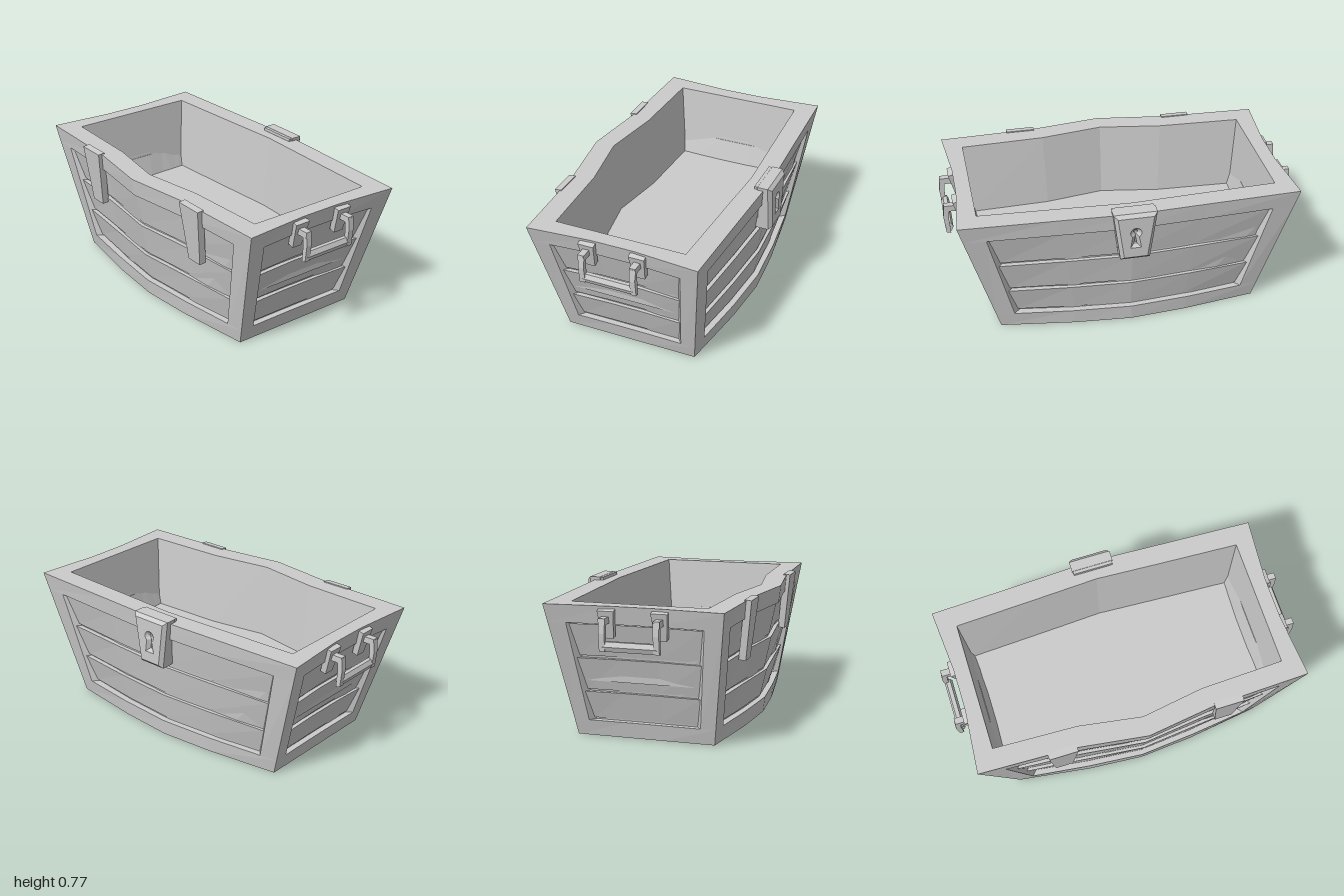
import * as THREE from 'three';

const H = 0.75;
const mat = new THREE.MeshStandardMaterial({ color: 0xcccccc, flatShading: true, side: THREE.DoubleSide });
const lerp = THREE.MathUtils.lerp;

// Distance of a bowed wall from the centre: values at u = 0, 0.43 and 1
function bow(u, [mid, quarter, end]) {
  const a = Math.abs(u);
  return a < 0.43 ? lerp(mid, quarter, a / 0.43) : lerp(quarter, end, (a - 0.43) / 0.57);
}
const BOTTOM = [0.47, 0.445, 0.385];
const TOPS = { 0: [0.565, 0.508, 0.49], 2: [0.53, 0.512, 0.49] };

// Point on wall k (0 front, 1 left, 2 back, 3 right), at depth d under its face
function wallPoint(k, u, y, d) {
  const t = y / H;
  const hx = lerp(0.74, 0.95, t), hz = lerp(0.385, 0.49, t);
  const p = new THREE.Vector3();
  if (k % 2 === 0) {
    p.set(u * (hx - d), y, lerp(bow(u, BOTTOM), bow(u, TOPS[k]), t) - d);
  } else {
    const dent = d < 0.1 ? 0.03 * t * Math.min(1, (1 - Math.abs(u)) / 0.75) : 0;
    p.set(u * (hz - d), y, hx - dent - d);
  }
  return p.applyAxisAngle(new THREE.Vector3(0, 1, 0), k * Math.PI / 2);
}

// Board that follows a wall; us are the columns, outer depth may differ at bottom and top
function board(k, us, y0, y1, outBottom, outTop, inner) {
  const n = us.length - 1;
  const g = new THREE.BoxGeometry(1, 1, 1, n, 1, 1);
  const p = g.attributes.position;
  for (let i = 0; i < p.count; i++) {
    const u = us[Math.round((p.getX(i) + 0.5) * n)];
    const up = p.getY(i) > 0;
    const d = p.getZ(i) > 0 ? (up ? outTop : outBottom) : inner;
    const v = wallPoint(k, u, up ? y1 : y0, d);
    p.setXYZ(i, v.x, v.y, v.z);
  }
  g.computeVertexNormals();
  return g;
}

// Closed loop of the wall plan taken at planY, placed at height y
function ring(planY, inset, y) {
  const pts = [];
  for (let k = 0; k < 4; k++) {
    const us = k % 2 ? [-1, -0.25, 0.25] : [-1, -0.43, 0, 0.43];
    for (const u of us) pts.push(wallPoint(k, u, planY, inset).setY(y));
  }
  return pts;
}

// Skin through the rings with both ends capped
function loft(rings) {
  const pos = [];
  const tri = (...vs) => vs.forEach((v) => pos.push(v.x, v.y, v.z));
  const n = rings[0].length, last = rings.length - 1;
  const c0 = new THREE.Vector3(0, rings[0][0].y, 0), c1 = new THREE.Vector3(0, rings[last][0].y, 0);
  for (let j = 0; j < n; j++) {
    const m = (j + 1) % n;
    for (let i = 0; i < last; i++) {
      tri(rings[i][j], rings[i][m], rings[i + 1][m]);
      tri(rings[i][j], rings[i + 1][m], rings[i + 1][j]);
    }
    tri(rings[0][m], rings[0][j], c0);
    tri(rings[last][j], rings[last][m], c1);
  }
  const g = new THREE.BufferGeometry();
  g.setAttribute('position', new THREE.Float32BufferAttribute(pos, 3));
  g.computeVertexNormals();
  return g;
}

// Box whose lower end is narrower
function taperBox(top, bottom, h, d) {
  const g = new THREE.BoxGeometry(top, h, d);
  const p = g.attributes.position;
  for (let i = 0; i < p.count; i++) if (p.getY(i) < 0) p.setX(i, p.getX(i) * bottom / top);
  g.computeVertexNormals();
  return g;
}

function add(parent, name, geometry, x = 0, y = 0, z = 0, tilt = 0) {
  const m = new THREE.Mesh(geometry, mat);
  m.name = name;
  m.position.set(x, y, z);
  m.rotation.x = tilt;
  parent.add(m);
  return m;
}

// Carrying handle, facing +z
function makeHandle() {
  const g = new THREE.Group();
  for (const s of [-1, 1]) {
    add(g, 'handleBracket', taperBox(0.09, 0.06, 0.155, 0.035), s * 0.145, 0.657, 0.908, 0.27);
    add(g, 'handleHook', new THREE.BoxGeometry(0.036, 0.035, 0.075), s * 0.147, 0.68, 0.957);
    // Slightly curved arm
    const arm = new THREE.Shape([[0.965, 0.69], [0.995, 0.69], [1.0, 0.62], [0.99, 0.525],
      [0.965, 0.52], [0.972, 0.62]].map((a) => new THREE.Vector2(...a)));
    const geo = new THREE.ExtrudeGeometry(arm, { depth: 0.032, bevelEnabled: false });
    geo.rotateY(-Math.PI / 2);
    add(g, 'handleArm', geo, s * 0.147 + 0.016);
  }
  const bar = new THREE.CylinderGeometry(0.03, 0.03, 0.295, 6);
  bar.rotateZ(Math.PI / 2).scale(1, 1, 0.75);
  add(g, 'handleBar', bar, 0, 0.55, 0.972);
  return g;
}

// Lock with a keyhole, facing +z
function makeLock() {
  const g = new THREE.Group();
  const face = new THREE.Shape();
  face.moveTo(-0.1, 0.75).lineTo(-0.065, 0.5).lineTo(0.065, 0.5).lineTo(0.1, 0.75).closePath();
  const hole = new THREE.Path();
  hole.moveTo(-0.03, 0.56).lineTo(0.03, 0.56).lineTo(0.017, 0.63);
  hole.absarc(0, 0.655, 0.032, -0.9, Math.PI + 0.9, false);
  hole.closePath();
  face.holes.push(hole);
  const geo = new THREE.ExtrudeGeometry(face, {
    depth: 0.06, bevelThickness: 0.02, bevelSize: 0.02, bevelSegments: 1, curveSegments: 5,
  });
  add(g, 'lockBody', geo, 0, 0, 0.492);
  add(g, 'lockBackPlate', taperBox(0.232, 0.165, 0.285, 0.065), 0, 0.625, 0.505);
  return g;
}

export function createModel() {
  const model = new THREE.Group();
  model.name = 'openChest';

  // Inner body with the rim and the cavity
  add(model, 'innerBody', loft([
    ring(0.02, 0.035, 0.02), ring(H, 0.035, H),
    ring(H, 0.115, H), ring(H, 0.15, 0.32),
  ]));

  for (let k = 0; k < 4; k++) {
    const wall = new THREE.Group();
    wall.name = ['frontWall', 'leftWall', 'backWall', 'rightWall'][k];
    model.add(wall);
    const e = k % 2 ? 0.79 : 0.865;
    const cols = k % 2 ? [-0.25, 0.25] : [-0.43, 0, 0.43];
    const full = [-1, ...cols, 1], inside = [-e, ...cols, e];

    // Frame
    add(wall, 'topRail', board(k, full, 0.65, H, 0, 0, 0.04));
    add(wall, 'bottomRail', board(k, full, 0, 0.09, 0, 0, 0.06));
    add(wall, 'cornerPost', board(k, [-1, -e], 0.09, 0.65, 0, 0, 0.04));
    add(wall, 'cornerPost', board(k, [e, 1], 0.09, 0.65, 0, 0, 0.04));

    // Planks, each leaning out toward its upper edge
    for (const [y0, y1] of [[0.1, 0.257], [0.268, 0.45], [0.463, 0.643]]) {
      add(wall, 'plank', board(k, inside, y0, y1, 0.03, 0.014, 0.04));
    }
  }

  // Hinge straps
  for (const s of [-1, 1]) {
    add(model, 'hingeStrap', taperBox(0.165, 0.1, 0.335, 0.04), s * 0.477, 0.587, 0.494, 0.11);
  }

  // Side handles
  for (const s of [-1, 1]) {
    const handle = makeHandle();
    handle.name = s > 0 ? 'leftHandle' : 'rightHandle';
    handle.rotation.y = s * Math.PI / 2;
    model.add(handle);
  }

  const lock = makeLock();
  lock.name = 'lock';
  lock.rotation.y = Math.PI;
  model.add(lock);
  return model;
}
